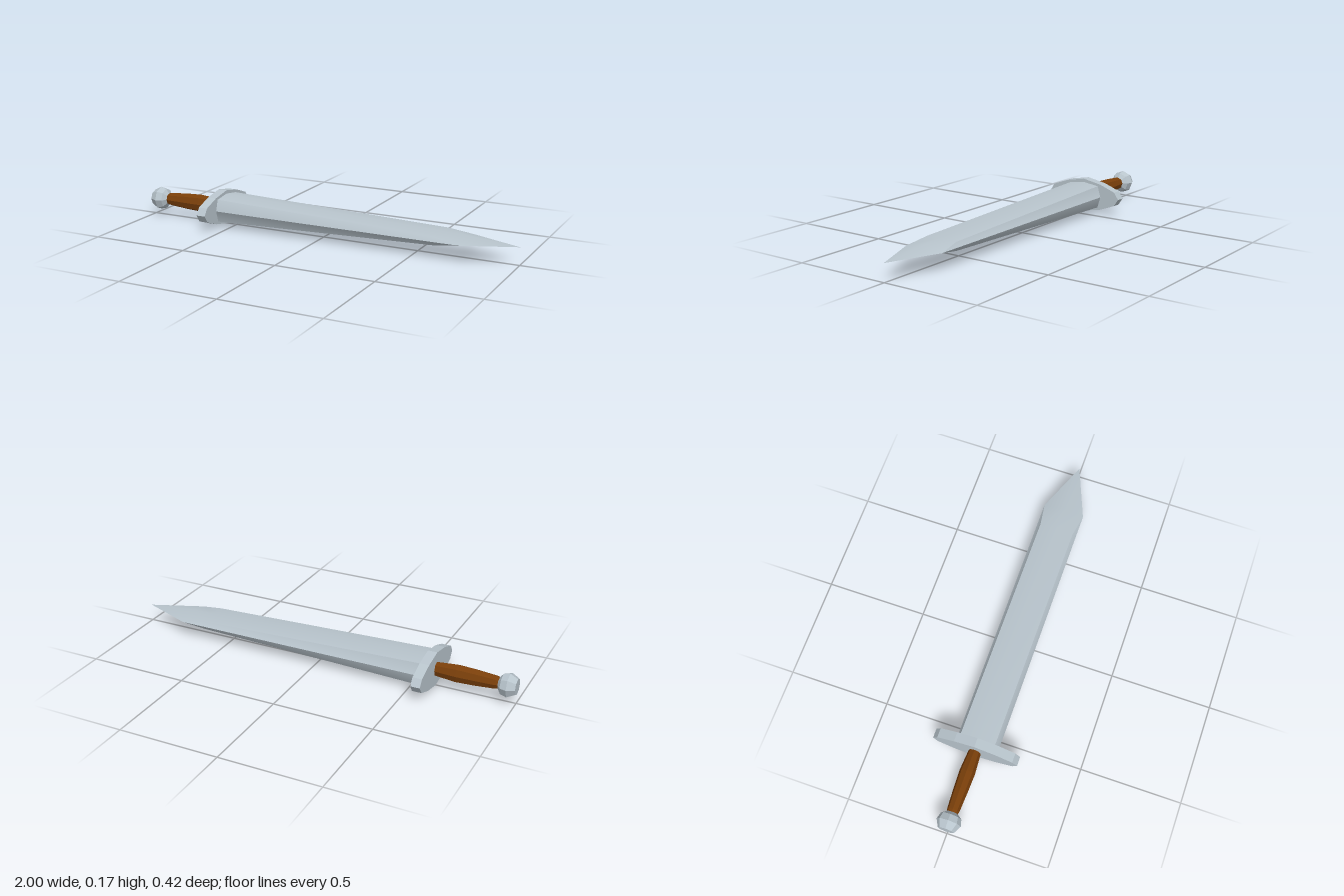
import * as THREE from 'three';
import { toCreasedNormals } from 'three/addons/utils/BufferGeometryUtils.js';

const AXIS_Y = 0.088;

// Skins a row of cross-sections { x, pts: [[z, y], ...] } along x and caps both ends.
function loft(sections) {
  const pos = [];
  const V = (x, p) => new THREE.Vector3(x, p[1], p[0]);
  const tri = (a, b, c) => {
    const area = b.clone().sub(a).cross(c.clone().sub(a)).length();
    if (area > 1e-8) for (const v of [a, b, c]) pos.push(v.x, v.y, v.z);
  };
  const n = sections[0].pts.length;
  for (let s = 0; s < sections.length - 1; s++) {
    const A = sections[s], B = sections[s + 1];
    for (let i = 0; i < n; i++) {
      const j = (i + 1) % n;
      const a = V(A.x, A.pts[i]), a2 = V(A.x, A.pts[j]);
      const b = V(B.x, B.pts[i]), b2 = V(B.x, B.pts[j]);
      tri(a, b, a2);
      tri(a2, b, b2);
    }
  }
  const first = sections[0], last = sections[sections.length - 1];
  for (let i = 0; i < n; i++) {
    const j = (i + 1) % n;
    tri(V(first.x, [0, 0]), V(first.x, first.pts[i]), V(first.x, first.pts[j]));
    tri(V(last.x, [0, 0]), V(last.x, last.pts[j]), V(last.x, last.pts[i]));
  }
  const g = new THREE.BufferGeometry();
  g.setAttribute('position', new THREE.Float32BufferAttribute(pos, 3));
  g.computeVertexNormals();
  return g;
}

// Mirrors a quarter outline (from +z edge up to the top centre) into a full ring.
function ring(quarter) {
  const half = [...quarter, ...quarter.slice(0, -1).reverse().map(([z, y]) => [-z, y])];
  return [...half, ...half.slice(1, -1).reverse().map(([z, y]) => [z, -y])];
}

// Eight-sided oval section.
function oval(x, rz, ry) {
  const pts = [];
  for (let i = 0; i < 8; i++) {
    const a = (i / 8) * Math.PI * 2;
    pts.push([Math.cos(a) * rz, Math.sin(a) * ry]);
  }
  return { x, pts };
}

export function createModel() {
  const group = new THREE.Group();
  group.name = 'sword';
  const steel = new THREE.MeshStandardMaterial({ color: 0xb8c4cc });
  const wood = new THREE.MeshStandardMaterial({ color: 0x7a3f0a });

  const add = (name, geometry, material) => {
    const mesh = new THREE.Mesh(geometry, material);
    mesh.name = name;
    mesh.position.y = AXIS_Y;
    group.add(mesh);
  };

  // Blade: bevelled edges that run out at the shoulder, then a pointed tip
  const blade = (x, edge, bevelZ, bevelY, ridge) =>
    ({ x, pts: ring([[edge, 0], [bevelZ, bevelY], [0, ridge]]) });
  add('blade', toCreasedNormals(loft([
    blade(-0.57, 0.104, 0.086, 0.058, 0.07),
    blade(0.62, 0.104, 0.086, 0.021, 0.027),
    blade(0.74, 0.104, 0.104, 0, 0.023),
    blade(1, 0, 0, 0, 0),
  ]), 0.5), steel);

  // Crossguard: flat faceted plate
  const plate = ring([[0.212, 0], [0.188, 0.036], [0.102, 0.068], [0, 0.087]]);
  add('crossguard', loft([{ x: -0.605, pts: plate }, { x: -0.558, pts: plate }]), steel);

  // Grip: swelling eight-sided handle
  add('grip', loft([
    oval(-0.93, 0.022, 0.022),
    oval(-0.9, 0.03, 0.033),
    oval(-0.8, 0.035, 0.042),
    oval(-0.71, 0.038, 0.046),
    oval(-0.6, 0.03, 0.036),
  ]), wood);

  // Pommel: faceted knob
  add('pommel', loft([
    oval(-1, 0.04, 0.04),
    oval(-0.962, 0.06, 0.06),
    oval(-0.93, 0.051, 0.051),
    oval(-0.912, 0.026, 0.026),
  ]), steel);

  return group;
}
